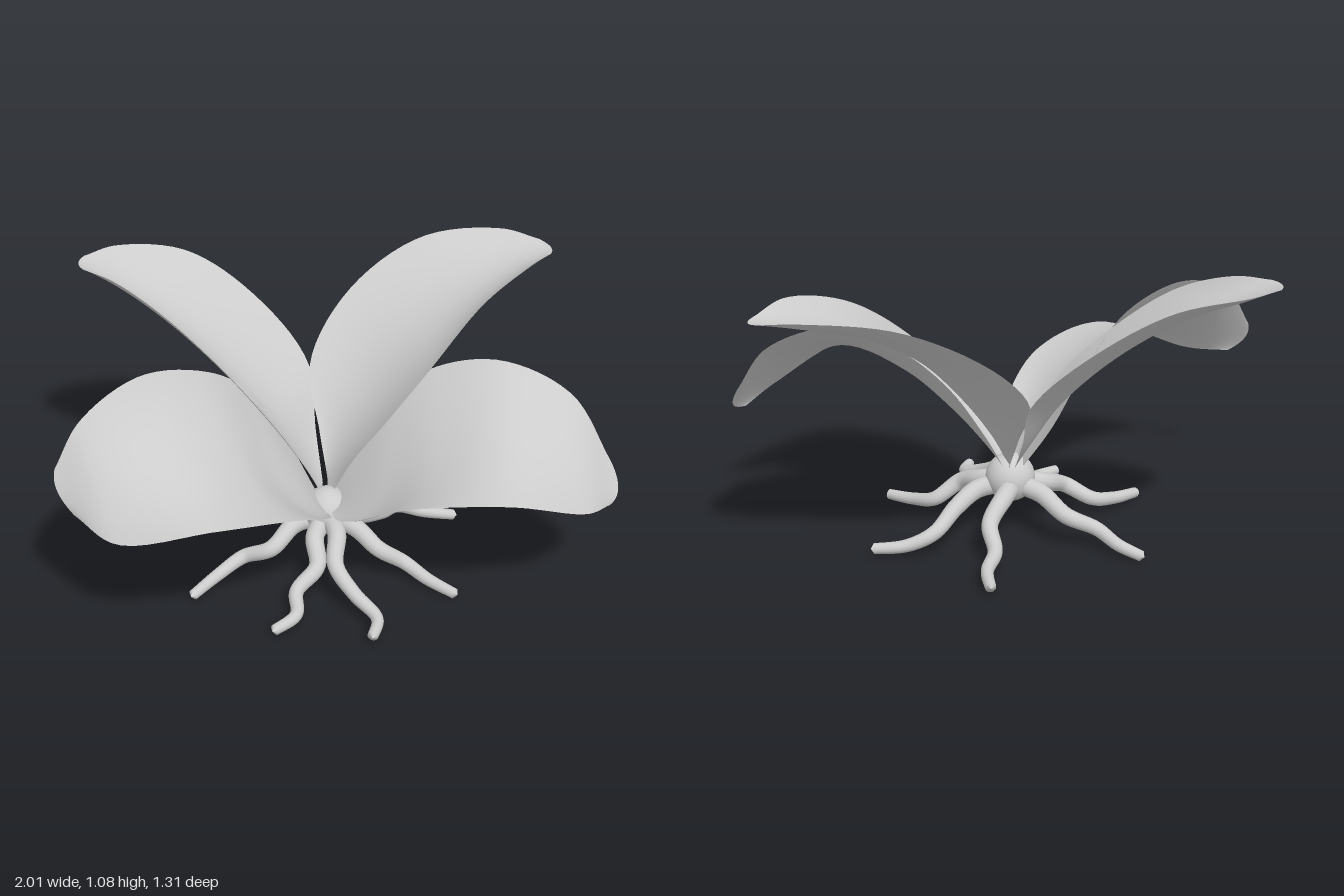
import * as THREE from 'three';

const grey = new THREE.MeshStandardMaterial({ color: 0xcccccc, side: THREE.DoubleSide });
grey.name = 'pale grey';

const curve = (points) => new THREE.CatmullRomCurve3(points.map((p) => new THREE.Vector3(...p)));

// Cupped petal lofted between a rear edge, a sunken midrib and a front edge
function makePetal(name, { rear, mid, front }) {
  const [a, m, b] = [rear, mid, front].map(curve);
  const along = 40, across = 20, positions = [], index = [];
  for (let i = 0; i <= along; i++) {
    const t = i / along;
    const pa = a.getPoint(t), pm = m.getPoint(t), pb = b.getPoint(t);
    // control point that makes the section pass through the midrib
    const control = pm.clone().multiplyScalar(2).addScaledVector(pa, -0.5).addScaledVector(pb, -0.5);
    const section = new THREE.QuadraticBezierCurve3(pa, control, pb);
    for (let j = 0; j <= across; j++) positions.push(...section.getPoint(j / across).toArray());
  }
  for (let i = 0; i < along; i++) {
    for (let j = 0; j < across; j++) {
      const p = i * (across + 1) + j, q = p + across + 1;
      index.push(p, p + 1, q, q, p + 1, q + 1);
    }
  }
  const g = new THREE.BufferGeometry();
  g.setAttribute('position', new THREE.Float32BufferAttribute(positions, 3));
  g.setIndex(index);
  g.computeVertexNormals();
  const mesh = new THREE.Mesh(g, grey);
  mesh.name = name;
  return mesh;
}

// Wavy root that tapers outwards and closes at its tip
function makeRoot(name, points) {
  const path = curve(points), steps = 48, sides = 12;
  const g = new THREE.TubeGeometry(path, steps, 0.038, sides);
  const pos = g.attributes.position, v = new THREE.Vector3();
  for (let i = 0; i <= steps; i++) {
    const centre = path.getPointAt(i / steps);
    const k = i === steps ? 0 : 1 - 0.48 * (i / steps);
    for (let j = 0; j <= sides; j++) {
      const n = i * (sides + 1) + j;
      v.fromBufferAttribute(pos, n).sub(centre).multiplyScalar(k).add(centre);
      pos.setXYZ(n, v.x, v.y, v.z);
    }
  }
  const mesh = new THREE.Mesh(g, grey);
  mesh.name = name;
  return mesh;
}

const frontLeft = {
  rear: [[0.04, 0.29, -0.06], [0.12, 0.44, -0.1], [0.25, 0.63, -0.09], [0.42, 0.77, -0.04], [0.64, 0.83, 0.07], [0.87, 0.73, 0.19], [0.985, 0.52, 0.33]],
  mid: [[0.02, 0.26, 0.03], [0.08, 0.33, 0.12], [0.17, 0.42, 0.21], [0.33, 0.56, 0.29], [0.58, 0.67, 0.34], [0.83, 0.6, 0.38], [1, 0.44, 0.39]],
  front: [[0, 0.27, 0.1], [-0.01, 0.32, 0.22], [0.03, 0.4, 0.36], [0.18, 0.54, 0.53], [0.5, 0.59, 0.65], [0.82, 0.46, 0.56], [0.95, 0.41, 0.45]],
};
const frontRight = {
  rear: [[-0.04, 0.29, -0.06], [-0.13, 0.47, -0.14], [-0.26, 0.69, -0.12], [-0.43, 0.85, -0.02], [-0.68, 0.92, 0.09], [-0.9, 0.83, 0.2], [-1, 0.68, 0.25]],
  mid: [[-0.02, 0.26, 0.03], [-0.08, 0.34, 0.1], [-0.19, 0.45, 0.17], [-0.36, 0.61, 0.24], [-0.6, 0.7, 0.31], [-0.85, 0.67, 0.33], [-1, 0.61, 0.28]],
  front: [[-0.02, 0.27, 0.1], [-0.03, 0.33, 0.2], [-0.06, 0.41, 0.34], [-0.22, 0.54, 0.52], [-0.5, 0.6, 0.62], [-0.82, 0.51, 0.5], [-0.95, 0.54, 0.34]],
};
const backLeft = {
  rear: [[0.02, 0.29, -0.07], [0.01, 0.45, -0.2], [0.01, 0.65, -0.38], [0.2, 0.87, -0.54], [0.5, 1.03, -0.61], [0.8, 1.06, -0.56], [0.93, 1.04, -0.48]],
  mid: [[0.01, 0.28, -0.04], [0.07, 0.41, -0.1], [0.17, 0.58, -0.18], [0.36, 0.79, -0.27], [0.59, 0.93, -0.34], [0.81, 1, -0.39], [0.96, 1.03, -0.42]],
  front: [[0.02, 0.29, 0], [0.09, 0.45, 0.04], [0.2, 0.61, 0.07], [0.37, 0.8, 0.04], [0.6, 0.98, -0.09], [0.82, 1.05, -0.23], [0.94, 1.03, -0.36]],
};
const backRight = {
  rear: [[0, 0.29, -0.08], [0, 0.44, -0.22], [0, 0.65, -0.38], [-0.18, 0.88, -0.54], [-0.42, 1.04, -0.64], [-0.68, 1.08, -0.65], [-0.81, 1.08, -0.58]],
  mid: [[-0.01, 0.28, -0.04], [-0.07, 0.41, -0.1], [-0.16, 0.58, -0.18], [-0.33, 0.78, -0.29], [-0.52, 0.93, -0.39], [-0.7, 1.02, -0.47], [-0.835, 1.08, -0.52]],
  front: [[-0.02, 0.29, 0], [-0.09, 0.44, 0.03], [-0.2, 0.62, 0.02], [-0.37, 0.82, -0.08], [-0.56, 0.99, -0.21], [-0.72, 1.07, -0.36], [-0.82, 1.08, -0.46]],
};

const roots = [
  [[0, 0.21, 0.05], [0.01, 0.2, 0.14], [-0.02, 0.15, 0.27], [0.03, 0.09, 0.38], [0.09, 0.05, 0.48], [0.05, 0.04, 0.58]],
  [[0.04, 0.2, 0.04], [0.1, 0.18, 0.1], [0.16, 0.14, 0.18], [0.26, 0.07, 0.19], [0.33, 0.04, 0.27], [0.42, 0.025, 0.37]],
  [[0.05, 0.2, 0], [0.13, 0.18, 0], [0.22, 0.14, -0.06], [0.32, 0.09, -0.16], [0.42, 0.05, -0.16], [0.55, 0.035, -0.13]],
  [[0.01, 0.2, -0.05], [0.05, 0.19, -0.12], [0.12, 0.13, -0.21], [0.12, 0.07, -0.31], [0.17, 0.05, -0.42], [0.18, 0.04, -0.54]],
  [[-0.04, 0.2, -0.04], [-0.1, 0.18, -0.09], [-0.17, 0.13, -0.19], [-0.28, 0.08, -0.22], [-0.34, 0.05, -0.31], [-0.42, 0.025, -0.38]],
  [[-0.05, 0.2, 0.01], [-0.13, 0.18, 0.02], [-0.23, 0.13, 0.09], [-0.33, 0.08, 0.05], [-0.43, 0.05, 0.1], [-0.55, 0.025, 0.19]],
  [[-0.03, 0.2, 0.05], [-0.07, 0.18, 0.12], [-0.08, 0.12, 0.22], [-0.17, 0.07, 0.29], [-0.19, 0.04, 0.39], [-0.29, 0.03, 0.46]],
];

export function createModel() {
  const model = new THREE.Group();
  model.name = 'rootedFlower';

  // Round bulb joining petals and roots
  const bulb = new THREE.Mesh(new THREE.SphereGeometry(0.093, 32, 20), grey);
  bulb.name = 'bulb';
  bulb.position.set(0, 0.22, 0.005);
  model.add(bulb);

  Object.entries({ frontLeft, frontRight, backLeft, backRight })
    .forEach(([side, paths]) => model.add(makePetal(side + 'Petal', paths)));
  roots.forEach((points, i) => model.add(makeRoot('root' + (i + 1), points)));
  return model;
}
